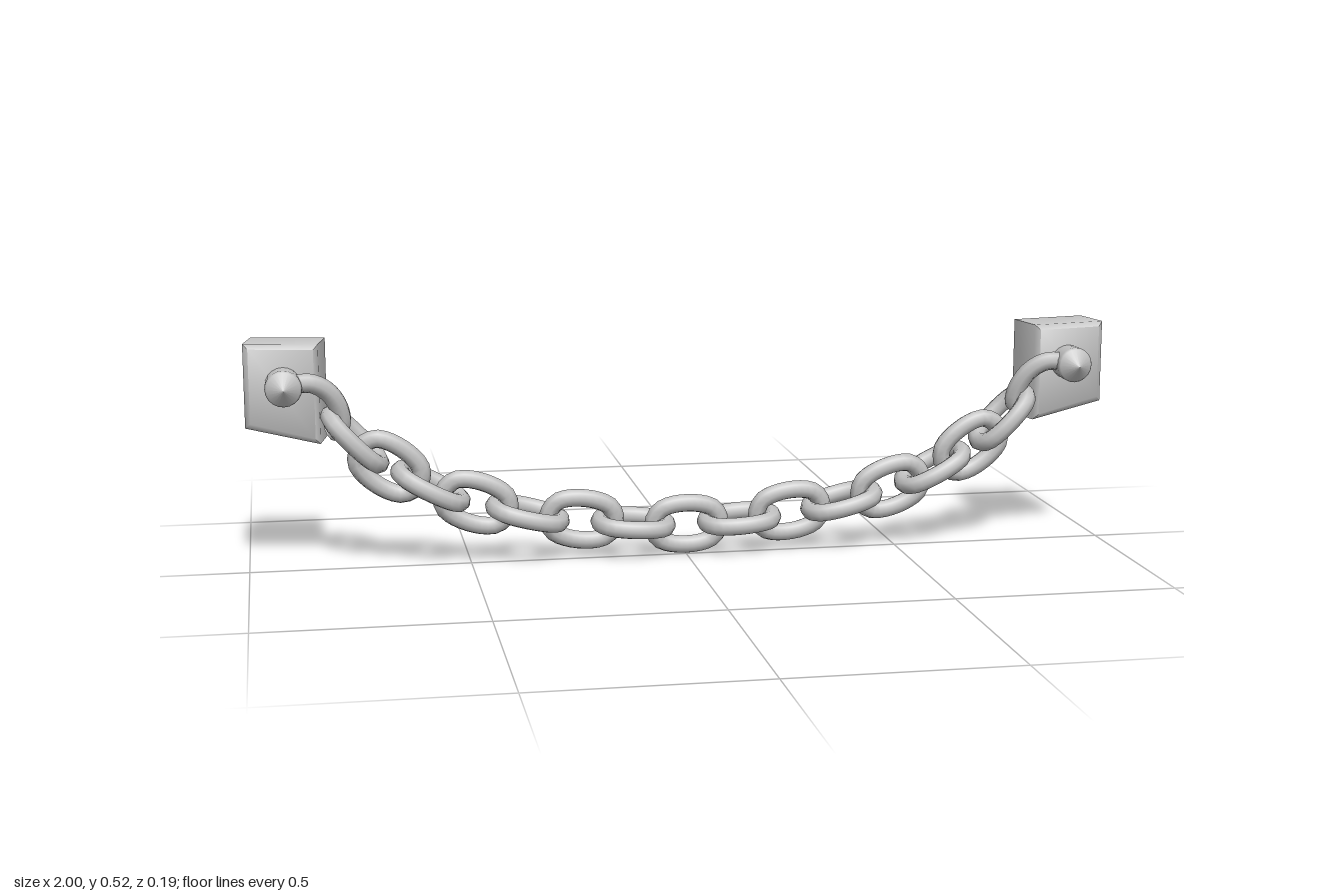
import * as THREE from 'three';
import { toCreasedNormals } from 'three/addons/utils/BufferGeometryUtils.js';

const steel = new THREE.MeshStandardMaterial({ color: 0xc2c2c2, side: THREE.DoubleSide });
steel.name = 'steel grey';

function part(name, geometry, parent) {
  const mesh = new THREE.Mesh(geometry, steel);
  mesh.name = name;
  parent.add(mesh);
  return mesh;
}

const curveThrough = (points, closed) =>
  new THREE.CatmullRomCurve3(points.map(p => new THREE.Vector3(...p)), closed, 'centripetal');

// Oval chain link lying in the xy plane
function linkGeometry() {
  const points = [];
  const radius = 0.0485, half = 0.03;
  for (const side of [1, -1]) {
    for (let i = 0; i <= 4; i++) {
      const a = -Math.PI / 2 + (i / 4) * Math.PI;
      points.push([side * (half + radius * Math.cos(a)), side * radius * Math.sin(a), 0]);
    }
  }
  return new THREE.TubeGeometry(curveThrough(points, true), 28, 0.0215, 8, true);
}

// Hollow wall block: skewed quad sections, bevelled front, open back
function blockGeometry(s) {
  const section = (shift, inset, z) => {
    const corners = [
      [0.833 + inset, 0.518 - inset], [0.833 + inset, 0.292 + inset * 1.2],
      [0.998 - inset, 0.333 + inset], [0.998 - inset, 0.523 - inset],
    ].map(([x, y]) => [s * (x + shift), y, z]);
    return s > 0 ? corners : corners.reverse();
  };
  const rings = [section(-0.018, 0, -0.097), section(0, 0, 0.001), section(0, 0.011, 0.012)];
  const verts = [];
  const quad = (a, b, c, d) => verts.push(...a, ...b, ...c, ...a, ...c, ...d);
  for (let r = 0; r < rings.length - 1; r++) {
    for (let i = 0; i < 4; i++) {
      const j = (i + 1) % 4;
      quad(rings[r][i], rings[r][j], rings[r + 1][j], rings[r + 1][i]);
    }
  }
  quad(...rings[rings.length - 1]);
  const geometry = new THREE.BufferGeometry();
  geometry.setAttribute('position', new THREE.Float32BufferAttribute(verts, 3));
  return toCreasedNormals(geometry, THREE.MathUtils.degToRad(55));
}

// Pointed stud on the front of each block
function studGeometry() {
  const profile = [[0.04, 0.012], [0.041, 0.062], [0.037, 0.067], [0, 0.097]];
  const geometry = new THREE.LatheGeometry(profile.map(p => new THREE.Vector2(...p)), 20);
  return geometry.rotateX(Math.PI / 2);
}

// Open hook from the stud into the last link
function hookGeometry(s) {
  const path = [
    [0.9, 0.434, 0.036], [0.85, 0.436, 0.036], [0.812, 0.412, 0.026],
    [0.788, 0.368, 0.012], [0.787, 0.332, 0.002], [0.813, 0.316, -0.006],
  ].map(([x, y, z]) => [s * x, y, z]);
  return new THREE.TubeGeometry(curveThrough(path, false), 20, 0.0215, 8, false);
}

export function createModel() {
  const model = new THREE.Group();
  model.name = 'hangingChain';

  // Links from the middle outwards: x, y, tilt in degrees; every other one lies flat
  const chain = new THREE.Group();
  chain.name = 'chain';
  model.add(chain);
  const link = linkGeometry();
  const roll = THREE.MathUtils.degToRad(7);
  const stations = [
    [0, 0.074, 0], [0.125, 0.081, 4], [0.245, 0.095, 8], [0.37, 0.114, 14],
    [0.488, 0.144, 20], [0.59, 0.186, 28], [0.682, 0.235, 36], [0.757, 0.3, 46],
  ];
  stations.forEach(([x, y, tilt], i) => {
    for (const s of i === 0 ? [1] : [1, -1]) {
      const mesh = part(i % 2 ? 'flatLink' : 'uprightLink', link, chain);
      mesh.position.set(s * x, y, 0.001);
      mesh.rotation.set(roll + (i % 2 ? Math.PI / 2 : 0), 0, s * THREE.MathUtils.degToRad(tilt), 'ZYX');
    }
  });

  // Mirrored wall mounts
  const stud = studGeometry();
  for (const s of [1, -1]) {
    const mount = new THREE.Group();
    mount.name = s > 0 ? 'leftMount' : 'rightMount';
    part('wallBlock', blockGeometry(s), mount);
    part('stud', stud, mount).position.set(s * 0.912, 0.43, 0);
    part('hook', hookGeometry(s), mount);
    model.add(mount);
  }
  return model;
}
